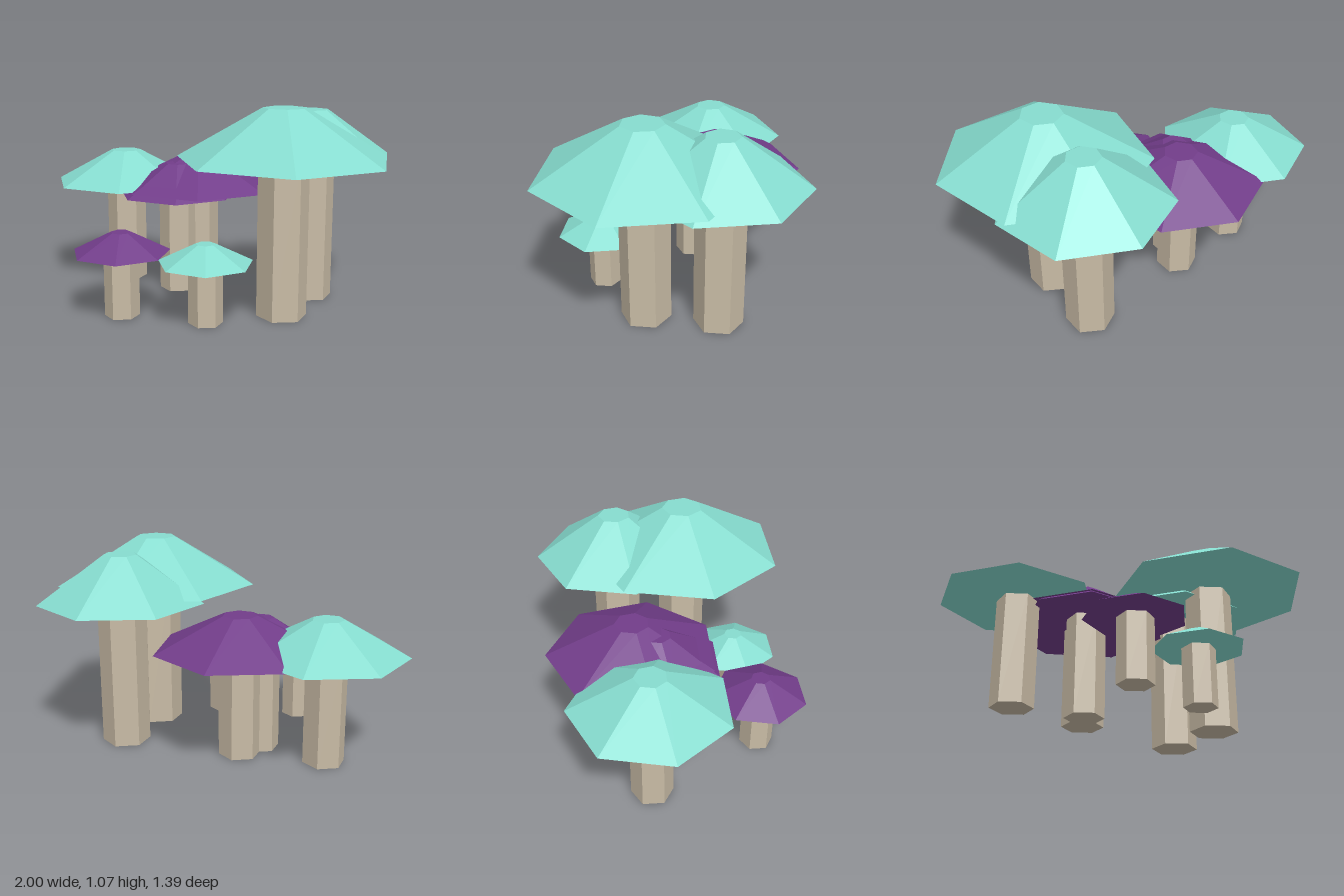
import * as THREE from 'three';

const material = (name, color) => {
  const m = new THREE.MeshStandardMaterial({ color, flatShading: true });
  m.name = name;
  return m;
};

// One mushroom: hexagonal stem under a seven-sided, flat-topped cap
function createMushroom({ name, x, z, stemR, capR, capY, topY, cap, stem }) {
  const group = new THREE.Group();
  group.name = name;
  group.position.set(x, 0, z);

  const stemMesh = new THREE.Mesh(new THREE.CylinderGeometry(stemR, stemR, capY, 6), stem);
  stemMesh.name = 'stem';
  stemMesh.position.y = capY / 2;

  const height = topY - capY;
  const capMesh = new THREE.Mesh(new THREE.CylinderGeometry(capR * 0.2, capR, height, 7), cap);
  capMesh.name = 'cap';
  capMesh.position.y = capY + height / 2;
  capMesh.rotation.y = Math.PI; // one corner points to the back

  group.add(stemMesh, capMesh);
  return group;
}

export function createModel() {
  const teal = material('teal cap', 0x86dccf);
  const purple = material('purple cap', 0x723d8a);
  const stem = material('beige stem', 0xc8bba5);

  const mushrooms = [
    { name: 'tallFrontMushroom', x: 0.465, z: 0.117, stemR: 0.13, capR: 0.548, capY: 0.81, topY: 1.065, cap: teal },
    { name: 'tallBackMushroom', x: 0.48, z: -0.256, stemR: 0.128, capR: 0.439, capY: 0.78, topY: 1.025, cap: teal },
    { name: 'sideMushroom', x: -0.6, z: -0.127, stemR: 0.11, capR: 0.411, capY: 0.578, topY: 0.758, cap: teal },
    { name: 'middleBackMushroom', x: -0.162, z: -0.194, stemR: 0.11, capR: 0.451, capY: 0.574, topY: 0.751, cap: purple },
    { name: 'middleFrontMushroom', x: -0.227, z: -0.066, stemR: 0.104, capR: 0.334, capY: 0.547, topY: 0.715, cap: purple },
    { name: 'smallPurpleMushroom', x: -0.273, z: 0.468, stemR: 0.09, capR: 0.253, capY: 0.335, topY: 0.439, cap: purple },
    { name: 'smallTealMushroom', x: 0.163, z: 0.386, stemR: 0.087, capR: 0.243, capY: 0.311, topY: 0.409, cap: teal },
  ];

  const model = new THREE.Group();
  model.name = 'mushroomCluster';
  for (const m of mushrooms) model.add(createMushroom({ ...m, stem }));
  return model;
}
